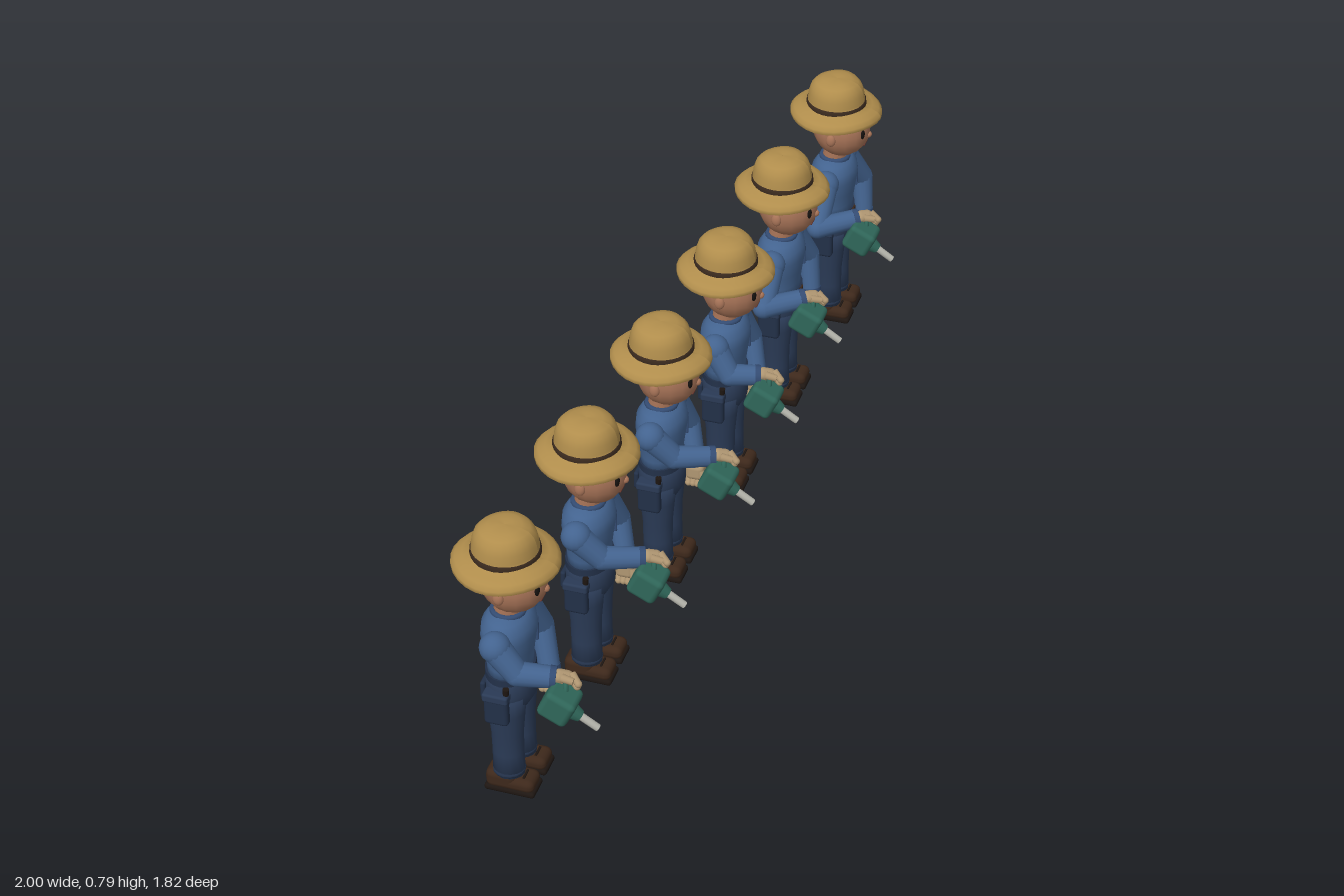
import * as THREE from 'three';
import { RoundedBoxGeometry } from 'three/addons/geometries/RoundedBoxGeometry.js';

const mat = (color, side = THREE.FrontSide) => new THREE.MeshStandardMaterial({ color, side });
const M = {
  shirt: mat(0x43638f), shirtDark: mat(0x344c73), pants: mat(0x2a3a55), pocket: mat(0x223048),
  leather: mat(0x3d281b), sole: mat(0x1e1612), skin: mat(0xa87458), glove: mat(0xad9470),
  hair: mat(0x2b1d17), straw: mat(0xb08d4c, THREE.DoubleSide), band: mat(0x3a2a1e),
  eye: mat(0x15110f), mouth: mat(0x6b3a30), green: mat(0x2f6659), steel: mat(0xb5b5ac),
};
const V = (x, y, z) => new THREE.Vector3(x, y, z);

function add(parent, name, geo, material, x = 0, y = 0, z = 0) {
  const m = new THREE.Mesh(geo, material);
  m.name = name;
  m.position.set(x, y, z);
  parent.add(m);
  return m;
}
const ball = (p, name, material, x, y, z, rx, ry = rx, rz = rx) => {
  const m = add(p, name, new THREE.SphereGeometry(1, 16, 12), material, x, y, z);
  m.scale.set(rx, ry, rz);
  return m;
};
const box = (p, name, material, x, y, z, w, h, d, r = 0.006) =>
  add(p, name, new RoundedBoxGeometry(w, h, d, 2, r), material, x, y, z);
const lathe = (pts, seg = 18) =>
  new THREE.LatheGeometry(pts.map(([r, y]) => new THREE.Vector2(r, y)), seg);

// Tapered round bar between two points
function bar(parent, name, material, a, b, ra, rb) {
  const m = add(parent, name, new THREE.CylinderGeometry(rb, ra, a.distanceTo(b), 14), material);
  m.position.copy(a).lerp(b, 0.5);
  m.quaternion.setFromUnitVectors(V(0, 1, 0), b.clone().sub(a).normalize());
  return m;
}

// Sleeve with shoulder, elbow and cuff
function arm(parent, name, shoulder, elbow, wrist) {
  const g = new THREE.Group();
  g.name = name;
  parent.add(g);
  ball(g, 'shoulder', M.shirt, ...shoulder, 0.039);
  bar(g, 'upperArm', M.shirt, shoulder, elbow, 0.037, 0.031);
  ball(g, 'elbow', M.shirt, ...elbow, 0.031);
  bar(g, 'forearm', M.shirt, elbow, wrist, 0.031, 0.027);
  const dir = wrist.clone().sub(elbow).normalize();
  bar(g, 'cuff', M.shirtDark, wrist.clone().addScaledVector(dir, -0.012), wrist.clone().addScaledVector(dir, 0.003), 0.029, 0.028);
}

// Gloved hand, fingers along -y before turning, curled towards -x
function hand(parent, name, at, dir, curl, thick) {
  const g = new THREE.Group();
  g.name = name;
  g.position.copy(at);
  g.quaternion.setFromUnitVectors(V(0, -1, 0), dir.clone().normalize());
  parent.add(g);
  box(g, 'palm', M.glove, 0, -0.018, 0, thick, 0.048, 0.051, 0.014);
  for (let i = 0; i < 4; i++) {
    const z = -0.019 + i * 0.0127;
    const knuckle = V(0.007, -0.036, z), tip = V(0.007 - curl, -0.064 + curl * 0.4, z);
    bar(g, 'finger', M.glove, knuckle, tip, 0.0105, 0.009);
    ball(g, 'fingertip', M.glove, ...tip, 0.0092);
  }
  bar(g, 'thumb', M.glove, V(-0.01, -0.012, 0.02), V(-0.018, -0.04, 0.026), 0.011, 0.009);
}

// Straw hat with a drooping, slightly uneven brim
function hat(parent) {
  const g = new THREE.Group();
  g.name = 'hat';
  g.position.set(0, 0.685, 0);
  parent.add(g);
  const geo = lathe([[0.078, 0.014], [0.105, 0.006], [0.127, -0.008], [0.132, -0.005], [0.132, 0.006],
    [0.122, 0.017], [0.104, 0.025], [0.084, 0.03], [0.082, 0.045], [0.079, 0.066], [0.073, 0.084],
    [0.061, 0.098], [0.042, 0.105], [0.02, 0.107], [0.0001, 0.106]], 28);
  const p = geo.attributes.position;
  for (let i = 0; i < p.count; i++) {
    const a = Math.atan2(p.getZ(i), p.getX(i)), r = Math.hypot(p.getX(i), p.getZ(i));
    p.setY(i, p.getY(i) + 0.003 * Math.sin(3 * a + 1) * r / 0.13);
  }
  geo.computeVertexNormals();
  add(g, 'strawHat', geo, M.straw);
  add(g, 'hatBand', lathe([[0.084, 0.026], [0.0865, 0.028], [0.085, 0.04], [0.081, 0.042]], 28), M.band);
}

function head(parent) {
  const g = new THREE.Group();
  g.name = 'head';
  parent.add(g);
  bar(g, 'neck', M.skin, V(0, 0.515, -0.002), V(0, 0.59, 0.008), 0.037, 0.035);
  ball(g, 'skull', M.skin, 0, 0.635, 0.018, 0.081, 0.087, 0.084);
  ball(g, 'hair', M.hair, 0, 0.674, 0.005, 0.082, 0.04, 0.081);
  ball(g, 'nose', M.skin, 0, 0.622, 0.099, 0.009, 0.01, 0.009);
  box(g, 'mouth', M.mouth, 0, 0.592, 0.088, 0.032, 0.005, 0.008, 0.002);
  for (const s of [-1, 1]) {
    ball(g, 'eye', M.eye, s * 0.034, 0.639, 0.0895, 0.011, 0.015, 0.006);
    box(g, 'eyebrow', M.hair, s * 0.035, 0.664, 0.087, 0.026, 0.006, 0.008, 0.002).rotation.set(0, s * 0.4, -s * 0.12);
    ball(g, 'ear', M.skin, s * 0.081, 0.63, 0.008, 0.01, 0.019, 0.014);
  }
}

function body(parent) {
  const torso = add(parent, 'torso', lathe([[0.0001, 0.355], [0.075, 0.355], [0.076, 0.39], [0.083, 0.43],
    [0.092, 0.475], [0.088, 0.505], [0.068, 0.527], [0.038, 0.54], [0.0001, 0.542]], 24), M.shirt);
  torso.scale.z = 0.72;
  const collar = add(parent, 'collar', new THREE.TorusGeometry(0.038, 0.008, 8, 18), M.shirtDark, 0, 0.535, 0);
  collar.rotation.x = Math.PI / 2;
  box(parent, 'chestPocket', M.shirtDark, 0.046, 0.45, 0.053, 0.024, 0.06, 0.01, 0.004).rotation.y = 0.35;
  const hips = add(parent, 'hips', lathe([[0.0001, 0.25], [0.06, 0.252], [0.081, 0.28], [0.083, 0.31],
    [0.078, 0.365], [0.0001, 0.366]], 24), M.pants);
  hips.scale.z = 0.74;
  const belt = add(parent, 'belt', new THREE.CylinderGeometry(0.08, 0.081, 0.018, 24), M.pocket, 0, 0.36, 0);
  belt.scale.z = 0.75;
  box(parent, 'buckle', M.leather, 0, 0.36, 0.06, 0.024, 0.016, 0.008, 0.003);
  for (const s of [-1, 1]) {
    // Trouser leg, pockets and shoe
    const leg = add(parent, 'leg', lathe([[0.0001, 0.05], [0.037, 0.05], [0.036, 0.12], [0.037, 0.18],
      [0.043, 0.25], [0.045, 0.3], [0.0001, 0.32]], 16), M.pants, s * 0.041, 0, 0);
    leg.scale.z = 1.1;
    const hem = add(parent, 'trouserHem', new THREE.TorusGeometry(0.037, 0.005, 8, 16), M.pocket, s * 0.041, 0.06, 0);
    hem.rotation.x = Math.PI / 2;
    box(parent, 'backPocket', M.pocket, s * 0.034, 0.305, -0.055, 0.045, 0.05, 0.014);
    box(parent, 'hipPouch', M.pocket, s * 0.08, 0.284, -0.008, 0.034, 0.092, 0.062, 0.01);
    box(parent, 'pouchFlap', M.pants, s * 0.082, 0.322, -0.008, 0.037, 0.024, 0.066, 0.006);
    box(parent, 'sole', M.sole, s * 0.044, 0.009, 0.01, 0.07, 0.018, 0.132, 0.008);
    box(parent, 'shoeHeel', M.leather, s * 0.044, 0.036, -0.014, 0.067, 0.054, 0.08, 0.018);
    box(parent, 'shoeToe', M.leather, s * 0.044, 0.029, 0.032, 0.068, 0.038, 0.082, 0.017);
    for (let i = 0; i < 2; i++)
      box(parent, 'lace', M.sole, s * 0.044, 0.05 - i * 0.002, 0.03 + i * 0.014, 0.034, 0.005, 0.006, 0.001);
  }
  // Spare tool in the right pouch
  bar(parent, 'toolHandle', M.sole, V(-0.082, 0.3, 0.015), V(-0.084, 0.352, 0.018), 0.006, 0.008);
}

// Hand sprayer with a downward spout
function sprayer(parent, at) {
  const g = new THREE.Group();
  g.name = 'sprayer';
  g.position.copy(at);
  parent.add(g);
  const tank = box(g, 'tank', M.green, 0, 0, 0, 0.078, 0.08, 0.08, 0.014);
  tank.rotation.x = 0.45;
  bar(g, 'nozzleCollar', M.green, V(0.003, -0.018, 0.022), V(0.007, -0.037, 0.048), 0.024, 0.015);
  bar(g, 'spout', M.steel, V(0.006, -0.03, 0.04), V(0.015, -0.07, 0.09), 0.01, 0.0095);
  const handle = add(g, 'handle', new THREE.TorusGeometry(0.026, 0.007, 8, 18), M.green, 0.03, 0.028, 0.006);
  handle.rotation.y = 0.3;
}

// Place in the row, right elbow, sprayer position, left elbow and left wrist
const FIGURES = [
  { at: [-0.868, 0.647], elbow: [-0.1, 0.425, 0.055], tool: [-0.107, 0.37, 0.165], l: [0.148, 0.026], w: [0.112, 0.057] },
  { at: [-0.515, 0.355], elbow: [-0.08, 0.425, 0.06], tool: [-0.064, 0.37, 0.178], l: [0.148, 0.026], w: [0.112, 0.057] },
  { at: [-0.167, 0.07], elbow: [-0.078, 0.425, 0.058], tool: [-0.06, 0.37, 0.174], l: [0.148, 0.026], w: [0.112, 0.057] },
  { at: [0.164, -0.204], elbow: [-0.108, 0.422, 0.045], tool: [-0.108, 0.37, 0.142], l: [0.15, 0.027], w: [0.114, 0.057] },
  { at: [0.49, -0.49], elbow: [-0.185, 0.405, 0.005], tool: [-0.145, 0.37, 0.122], l: [0.158, 0.036], w: [0.137, 0.052] },
  { at: [0.826, -0.785], elbow: [-0.19, 0.4, 0.004], tool: [-0.15, 0.37, 0.125], l: [0.16, 0.042], w: [0.139, 0.056] },
];

export function createModel() {
  const model = new THREE.Group();
  model.name = 'gardenerRow';
  FIGURES.forEach((f, i) => {
    const g = new THREE.Group();
    g.name = 'gardener' + (i + 1);
    g.position.set(f.at[0], 0, f.at[1]);
    g.rotation.y = Math.PI / 4;
    model.add(g);
    body(g);
    head(g);
    hat(g);
    const tool = V(...f.tool), elbow = V(...f.elbow);
    const grip = tool.clone().add(V(0.034, 0.048, 0));
    const reach = grip.clone().sub(elbow).normalize();
    const wrist = grip.clone().addScaledVector(reach, -0.022);
    arm(g, 'rightArm', V(-0.095, 0.49, 0), elbow, wrist);
    hand(g, 'rightHand', wrist, reach.clone().add(V(0.1, -0.25, 0)), 0.024, 0.036);
    sprayer(g, tool);
    const leftWrist = V(f.w[0], 0.265, f.w[1]);
    arm(g, 'leftArm', V(0.095, 0.49, 0), V(f.l[0], 0.375, f.l[1]), leftWrist);
    hand(g, 'leftHand', leftWrist, V(-0.04, -1, 0.03), 0.016, 0.044);
  });
  return model;
}
